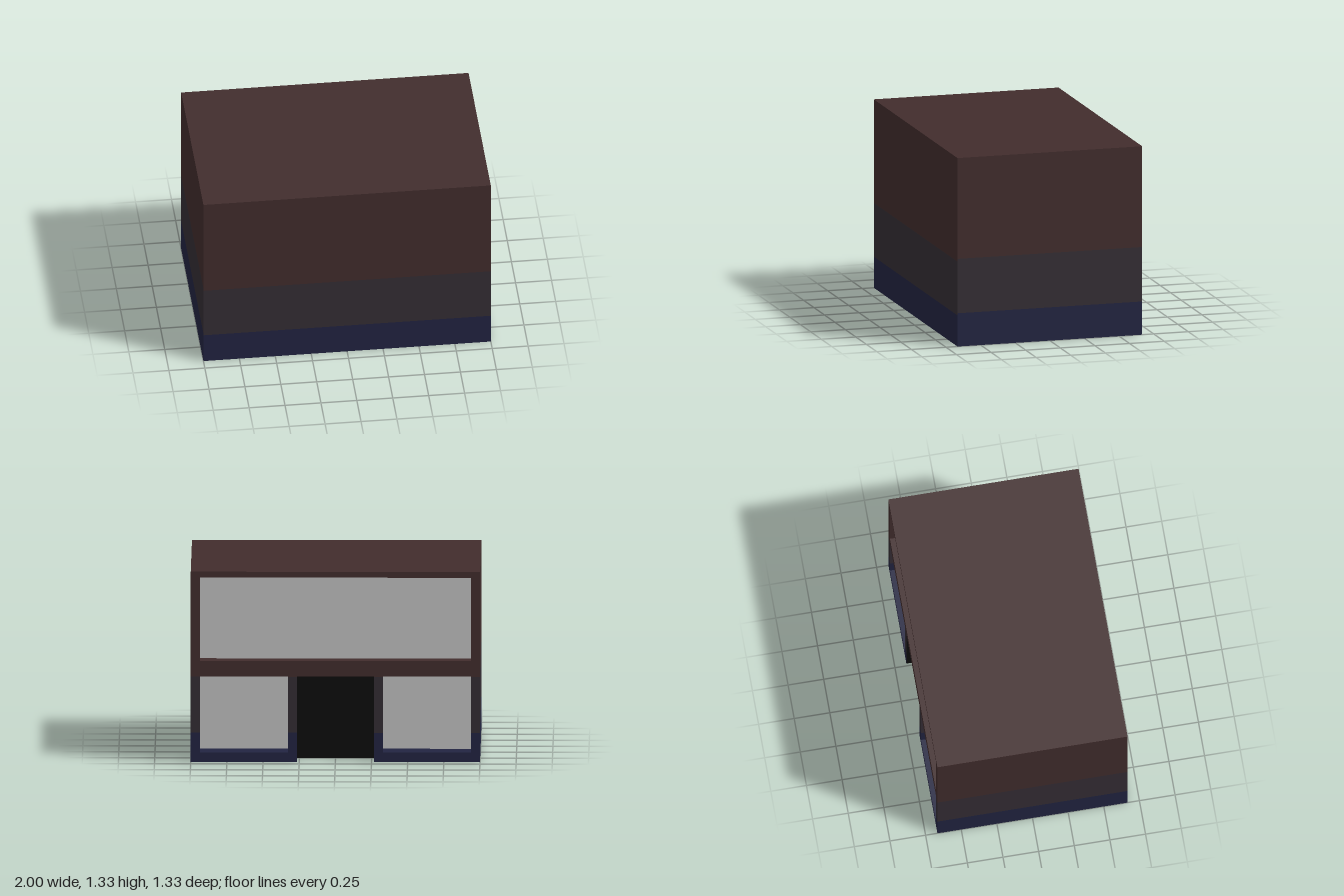
import * as THREE from 'three';

const mat = (name, color) => {
  const m = new THREE.MeshStandardMaterial({ color });
  m.name = name;
  return m;
};

export function createModel() {
  const brown = mat('brown wall', 0x422d2d);
  const slate = mat('slate wall', 0x352e35);
  const navy = mat('navy base', 0x222442);
  const black = mat('door black', 0x0c0c0c);
  const glass = mat('window grey', 0xc4c4c4);

  const model = new THREE.Group();
  model.name = 'building';
  const H = 1.333, Z = 0.667, B = -Z;

  const add = (name, geometry, material) => {
    const mesh = new THREE.Mesh(geometry, material);
    mesh.name = name;
    model.add(mesh);
    return mesh;
  };

  // Upright panel running left to right, seen from its outer side
  const panel = (name, [ax, az], [bx, bz], y0, y1, material) => {
    const m = add(name, new THREE.PlaneGeometry(Math.hypot(bx - ax, bz - az), y1 - y0), material);
    m.position.set((ax + bx) / 2, (y0 + y1) / 2, (az + bz) / 2);
    m.rotation.y = Math.atan2(az - bz, bx - ax);
  };

  // Upright panel split into navy, slate and brown bands at two heights
  const banded = (name, a, b, y0, y1, low, high) => {
    [[0, low, navy], [low, high, slate], [high, H, brown]].forEach(([s, e, material]) => {
      const lo = Math.max(s, y0), hi = Math.min(e, y1);
      if (hi - lo > 1e-4) panel(name, a, b, lo, hi, material);
    });
  };

  // Level panel facing up (1) or down (-1)
  const level = (name, x0, x1, z0, z1, y, dir, material) => {
    const m = add(name, new THREE.PlaneGeometry(x1 - x0, z1 - z0), material);
    m.position.set((x0 + x1) / 2, y, (z0 + z1) / 2);
    m.rotation.x = -dir * Math.PI / 2;
  };

  // Plain outer walls and roof
  banded('frontWall', [-1, Z], [1, Z], 0, H, 0.22, 0.6);
  banded('rightWall', [-1, B], [-1, Z], 0, H, 0.235, 0.62);
  banded('leftWall', [1, Z], [1, B], 0, H, 0.235, 0.62);
  level('roof', -1, 1, B, Z, H, 1, brown);

  // Opening sizes in the back wall
  const edge = 0.937, inner = 0.328, door = 0.267, sill = 0.066, head = 0.6;
  const upperSill = 0.708, upperHead = 1.292, doorDepth = 0.16;

  // Back wall: beams, posts and sills around the openings
  const back = (name, x1, x0, y0, y1) => banded(name, [x1, B], [x0, B], y0, y1, 0.205, 0.597);
  back('topBeam', edge, -edge, upperHead, H);
  back('middleBeam', edge, -edge, head, upperSill);
  back('cornerPost', 1, edge, 0, H);
  back('cornerPost', -edge, -1, 0, H);
  back('doorPost', inner, door, 0, head);
  back('doorPost', -door, -inner, 0, head);
  back('windowSill', edge, inner, 0, sill);
  back('windowSill', -inner, -edge, 0, sill);

  // Recessed opening: pane, two side reveals, ceiling and optional ledge
  const recess = (name, x1, x0, y0, y1, depth, o) => {
    const zi = B + depth;
    panel(name + 'Pane', [x1, zi], [x0, zi], y0, y1, o.pane);
    if (o.reveal) panel(name + 'Reveal', [x1, B], [x1, zi], y0, y1, o.reveal);
    else banded(name + 'Reveal', [x1, B], [x1, zi], y0, y1, 0.205, 0.6);
    banded(name + 'Reveal', [x0, zi], [x0, B], y0, y1, ...o.bands);
    level(name + 'Ceiling', x0, x1, B, zi, y1, -1, o.ceiling);
    if (o.ledge) level(name + 'Ledge', x0, x1, B, zi, y0, 1, o.ledge);
  };
  recess('upperWindow', edge, -edge, upperSill, upperHead, 0.11,
    { pane: glass, bands: [0.2, 0.6], ceiling: brown, ledge: brown });
  recess('leftWindow', edge, inner, sill, head, 0.165,
    { pane: glass, bands: [0.2, 0.45], ceiling: slate, ledge: navy });
  recess('rightWindow', -inner, -edge, sill, head, 0.165,
    { pane: glass, bands: [0.2, 0.45], ceiling: black, ledge: navy });
  recess('door', door, -door, 0, head, doorDepth,
    { pane: black, reveal: black, bands: [0, 0], ceiling: slate });

  // Underside with a notch at the doorway
  const floor = new THREE.Shape([
    [-1, B], [-door, B], [-door, B + doorDepth], [door, B + doorDepth],
    [door, B], [1, B], [1, Z], [-1, Z],
  ].map(([x, z]) => new THREE.Vector2(x, z)));
  add('underside', new THREE.ShapeGeometry(floor).rotateX(Math.PI / 2), brown);

  return model;
}
